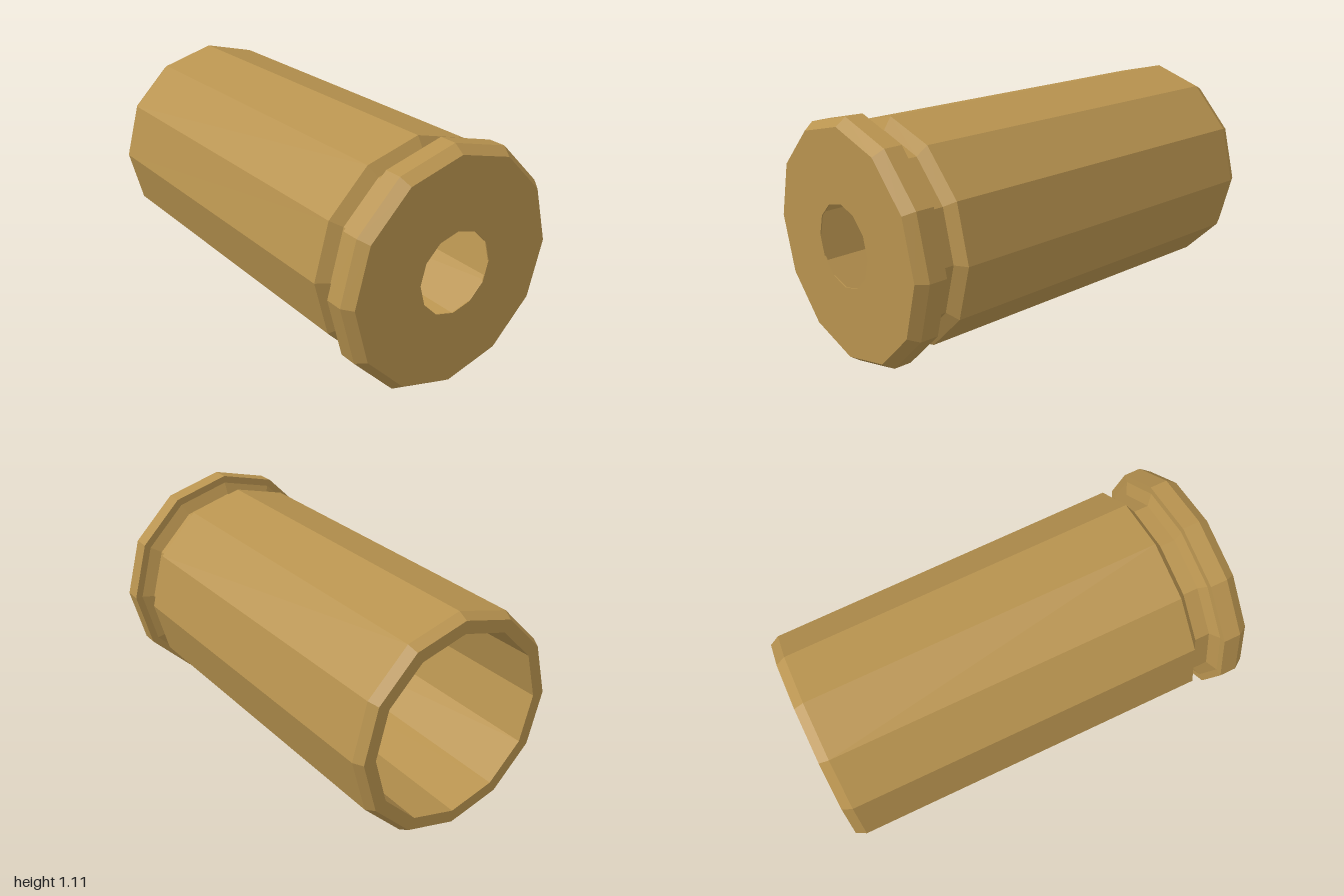
import * as THREE from 'three';

const SIDES = 12;
const CENTRE_Y = 0.557;

export function createModel() {
  const model = new THREE.Group();
  model.name = 'casing';
  const brass = new THREE.MeshStandardMaterial({ color: 0xb8934f });
  brass.name = 'brass';
  brass.flatShading = true;

  // Turns a profile of [radius, z] pairs about the z axis; faces look outward when z rises.
  const turn = (name, profile) => {
    const points = profile.map(([r, z]) => new THREE.Vector2(r, z));
    const geometry = new THREE.LatheGeometry(points, SIDES).rotateX(Math.PI / 2);
    const mesh = new THREE.Mesh(geometry, brass);
    mesh.name = name;
    mesh.position.y = CENTRE_Y;
    model.add(mesh);
  };

  // Mouth lip, chamfer and slightly tapered wall
  turn('body', [[0.43, -1], [0.488, -1], [0.512, -0.955], [0.521, 0.735]]);

  // Groove between wall and rim
  turn('extractorGroove', [[0.521, 0.735], [0.466, 0.77], [0.466, 0.842], [0.521, 0.868], [0.556, 0.87]]);

  // Rim and flat head with its round opening
  turn('rim', [[0.556, 0.87], [0.556, 0.952], [0.521, 1], [0.189, 1], [0.189, 0.995]]);

  // Hollow inside, from the opening back to the mouth
  turn('cavity', [[0.189, 0.995], [0.43, 0.995], [0.43, -1]]);

  return model;
}
